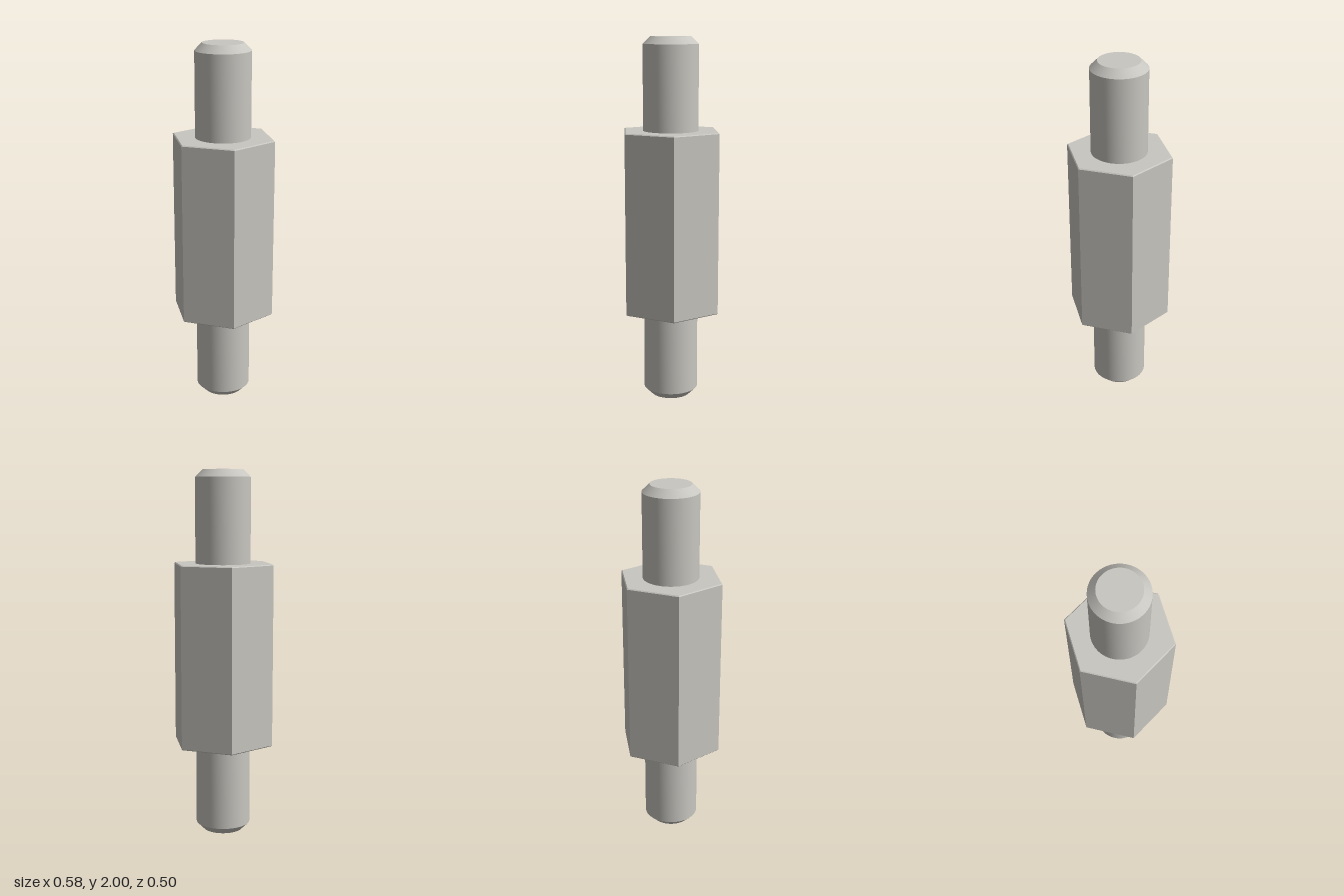
import * as THREE from 'three';
import { toCreasedNormals } from 'three/addons/utils/BufferGeometryUtils.js';

// Closed turned solid from [radius, height] pairs, bottom to top, with sharp edges kept.
function turned(profile, sides) {
  const points = profile.map(([r, y]) => new THREE.Vector2(r, y));
  // Starting at a quarter turn puts a hexagon corner on the x axis
  const geometry = new THREE.LatheGeometry(points, sides, Math.PI / 2);
  return toCreasedNormals(geometry, 0.5);
}

export function createModel() {
  const model = new THREE.Group();
  model.name = 'hexStandoff';

  const steel = new THREE.MeshStandardMaterial({ color: 0xc8c6c0 });
  steel.name = 'steel';

  // Hexagonal body with a fine bevel on both end faces
  const corner = 0.5 / Math.sqrt(3);
  const bevel = 0.005;
  const inner = corner - bevel * 2 / Math.sqrt(3);
  const body = new THREE.Mesh(turned([
    [0, 0.5], [inner, 0.5], [corner, 0.5 + bevel],
    [corner, 1.5 - bevel], [inner, 1.5], [0, 1.5],
  ], 6), steel);
  body.name = 'hexBody';
  model.add(body);

  // Chamfered round studs, mirrored about the middle and sunk slightly into the body
  const studGeometry = turned([[0, 0.45], [0.15, 0.45], [0.15, 0.96], [0.11, 1], [0, 1]], 64);
  for (const [name, turn] of [['topStud', 0], ['bottomStud', Math.PI]]) {
    const stud = new THREE.Mesh(studGeometry, steel);
    stud.name = name;
    stud.position.y = 1;
    stud.rotation.x = turn;
    model.add(stud);
  }

  return model;
}
